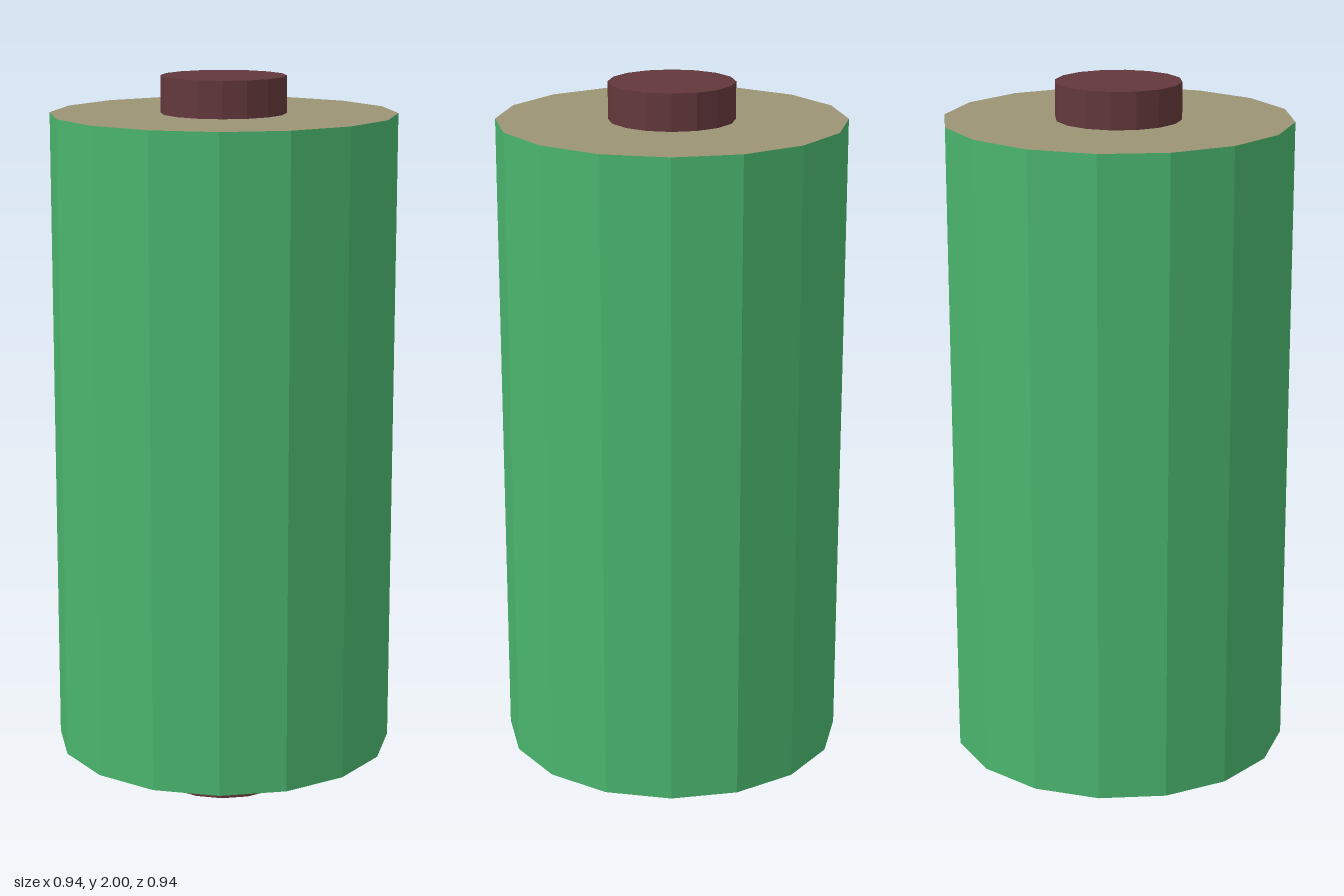
import * as THREE from 'three';

const SIDES = 16;

export function createModel() {
  const group = new THREE.Group();
  const paint = (color) => new THREE.MeshStandardMaterial({ color, flatShading: true });
  const green = paint(0x4ab56e);
  const olive = paint(0x9c9474);
  const maroon = paint(0x63383c);

  // Faceted ring of revolution through [radius, y] points, listed bottom to top
  const turned = (name, points, material) => {
    const profile = points.map(([r, y]) => new THREE.Vector2(r, y));
    const mesh = new THREE.Mesh(new THREE.LatheGeometry(profile, SIDES), material);
    mesh.name = name;
    group.add(mesh);
  };

  // Casing wall
  turned('casing', [[0.47, 0.125], [0.47, 1.9]], green);

  // Flat top and shallow conical bottom around the terminals
  turned('topCap', [[0.47, 1.9], [0.17, 1.9]], olive);
  turned('bottomCap', [[0.19, 0.1], [0.47, 0.125]], olive);

  // Terminals
  turned('topTerminal', [[0.17, 1.9], [0.17, 2], [0, 2]], maroon);
  turned('bottomTerminal', [[0, 0], [0.19, 0], [0.19, 0.1]], maroon);

  return group;
}
